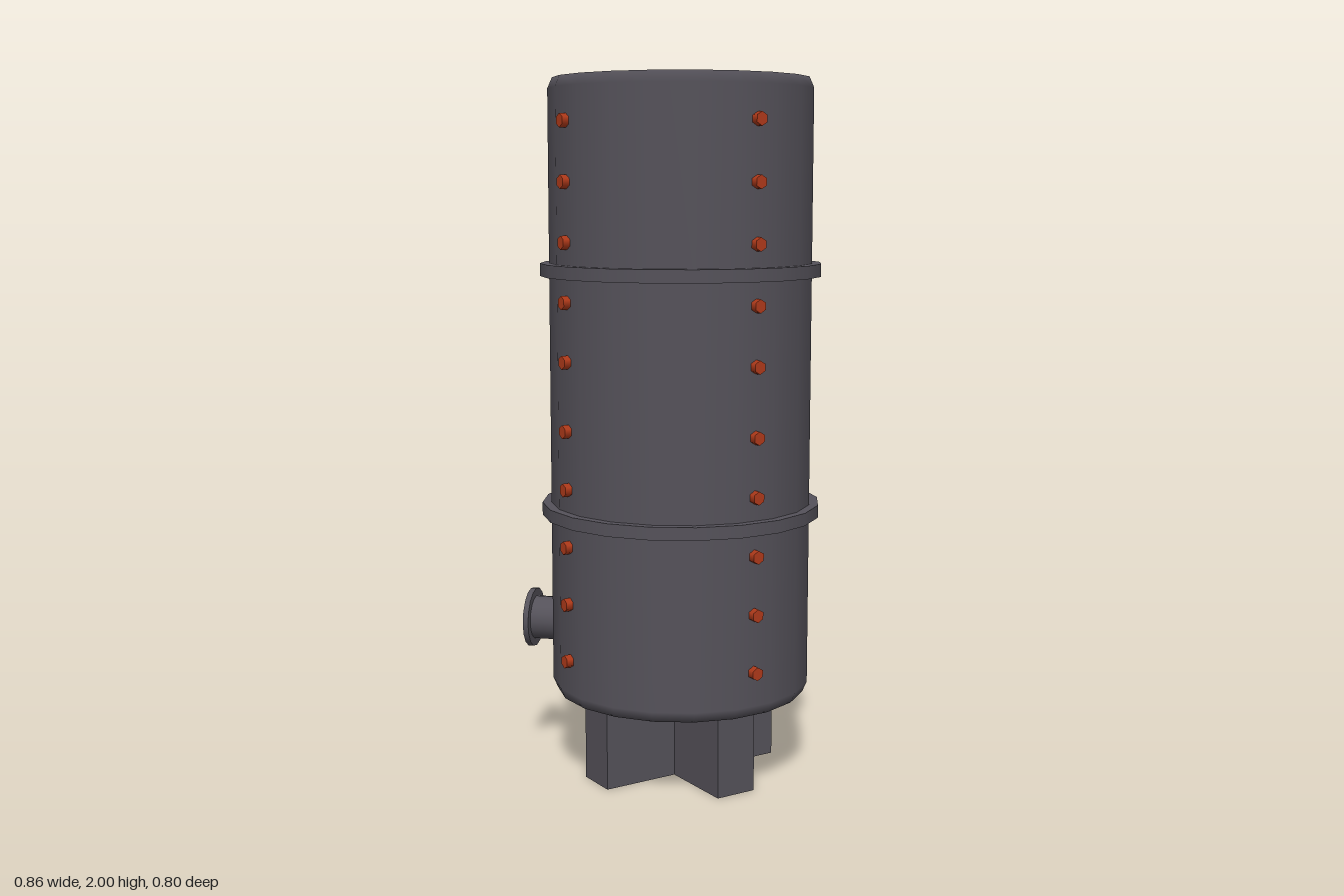
import * as THREE from 'three';

const CX = 0.03; // tank axis

export function createModel() {
  const model = new THREE.Group();
  const steel = new THREE.MeshStandardMaterial({ color: 0x55525a });
  steel.name = 'darkSteel';
  const red = new THREE.MeshStandardMaterial({ color: 0xb03a1a });
  red.name = 'rivetRed';
  const rust = new THREE.MeshStandardMaterial({ color: 0x7a3c1c });
  rust.name = 'rustBrown';

  const add = (name, geometry, material, x, y, z, parent = model) => {
    const mesh = new THREE.Mesh(geometry, material);
    mesh.name = name;
    mesh.position.set(x, y, z);
    parent.add(mesh);
    return mesh;
  };

  // Tank body with softly rounded ends
  const profile = [[0, 0.25], [0.361, 0.25], [0.374, 0.28], [0.374, 1.97], [0.361, 2], [0, 2]]
    .map(([r, y]) => new THREE.Vector2(r, y));
  add('tankBody', new THREE.LatheGeometry(profile, 20), steel, CX, 0, 0);

  // Reinforcing bands
  const bandGeo = new THREE.CylinderGeometry(0.4, 0.4, 0.036, 20);
  for (const y of [0.784, 1.469]) add('band', bandGeo, steel, CX, y, 0);

  // Crossed support base, turned 45 degrees
  const barGeo = new THREE.BoxGeometry(0.576, 0.25, 0.123);
  for (const a of [1, -1]) add('supportBar', barGeo, steel, CX, 0.125, 0).rotation.y = a * Math.PI / 4;

  // Four columns of rivets, in two runs of five
  const rivetGeo = new THREE.CylinderGeometry(0.019, 0.019, 0.03, 6).rotateX(Math.PI / 2);
  for (let c = 0; c < 4; c++) {
    const column = new THREE.Group();
    column.name = 'rivetColumn';
    column.position.x = CX;
    column.rotation.y = Math.PI / 4 + c * Math.PI / 2;
    for (const start of [0.377, 1.223])
      for (let i = 0; i < 5; i++) add('rivet', rivetGeo, red, 0, start + i * 0.1635, 0.375, column);
    model.add(column);
  }

  // Outlet pipe with flange and rusty mouth
  const pipe = new THREE.Group();
  pipe.name = 'outlet';
  pipe.position.set(0, 0.427, 0);
  model.add(pipe);
  const disc = (r, len) => new THREE.CylinderGeometry(r, r, len, 16).rotateZ(Math.PI / 2);
  add('outletPipe', disc(0.064, 0.1), steel, -0.365, 0, 0, pipe);
  add('outletFlange', disc(0.087, 0.016), steel, -0.419, 0, 0, pipe);
  add('outletMouth', disc(0.058, 0.006), rust, -0.426, 0, 0, pipe);
  return model;
}
